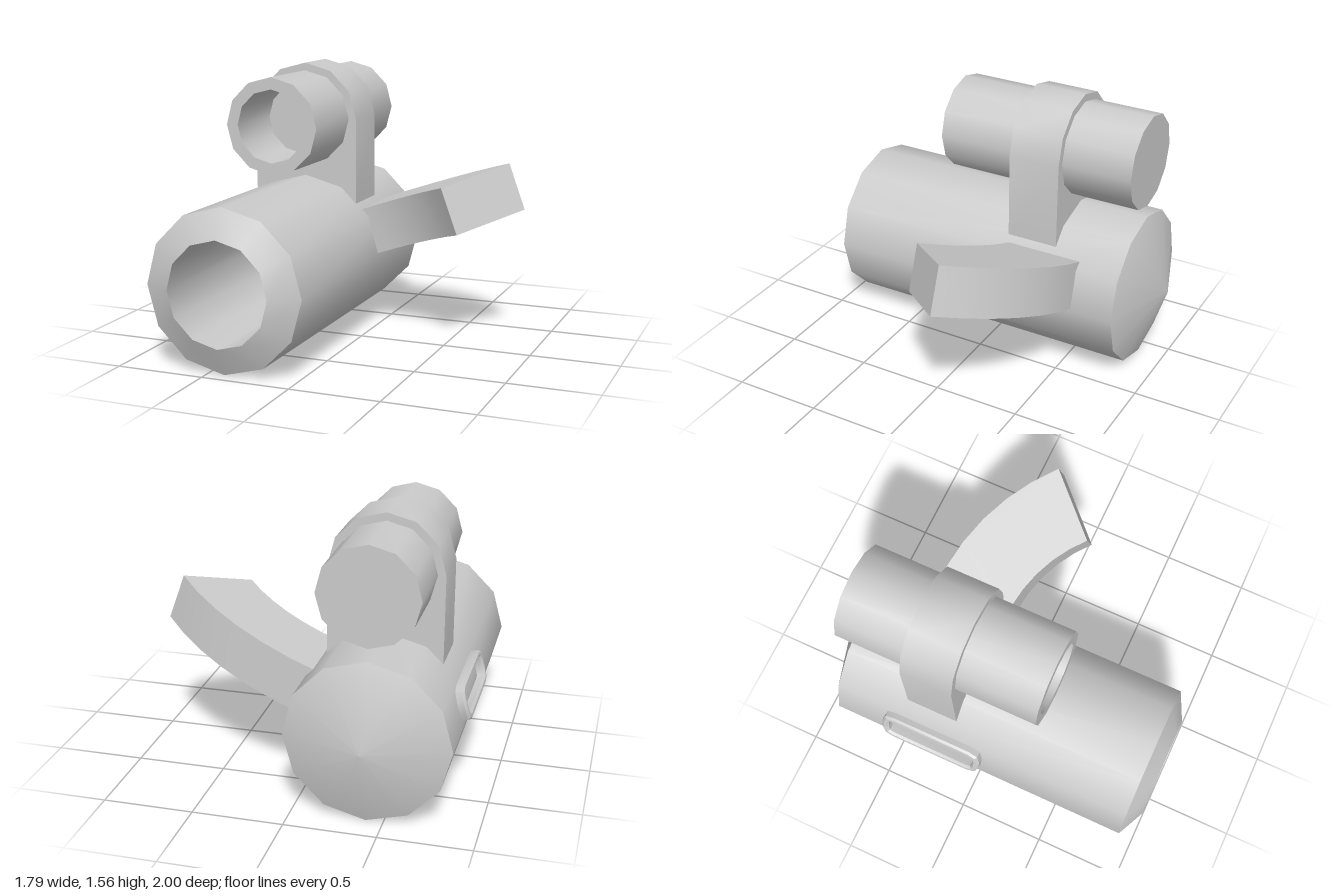
import * as THREE from 'three';
import { toCreasedNormals } from 'three/addons/utils/BufferGeometryUtils.js';

const CREASE = 0.6;
const AXIS_X = -0.405; // shared centre line of both tubes
const BARREL_Y = 0.447;
const TUBE_Y = 1.237;
const SIDES = 12;

export function createModel() {
  const model = new THREE.Group();
  model.name = 'twinTubeDevice';
  const material = new THREE.MeshStandardMaterial({ color: 0xcccccc });

  function add(name, geometry, x = 0, y = 0, z = 0) {
    const mesh = new THREE.Mesh(toCreasedNormals(geometry, CREASE), material);
    mesh.name = name;
    mesh.position.set(x, y, z);
    model.add(mesh);
    return mesh;
  }

  // Turned part lying along z; profile pairs are [radius, z], back to front
  function turned(profile) {
    const points = profile.map(([r, z]) => new THREE.Vector2(r, z));
    return new THREE.LatheGeometry(points, SIDES).rotateX(Math.PI / 2);
  }

  // Main barrel: pointed back, chamfered muzzle, deep bore
  add('mainBarrel', turned([
    [0, -1], [0.45, -0.845], [0.45, 0.925], [0.29, 1], [0.29, -0.8], [0, -0.8],
  ]), AXIS_X, BARREL_Y);

  // Upper tube: closed back, shallow bore in front
  add('upperTube', turned([
    [0, -0.84], [0.272, -0.84], [0.272, 0.325], [0.205, 0.325], [0.205, -0.08], [0, -0.08],
  ]), AXIS_X, TUBE_Y);

  // Mounting bracket: arch over the upper tube, straight cheeks down to the barrel
  const bracketRadius = 0.316;
  const arch = new THREE.Shape();
  arch.moveTo(-bracketRadius, 0.742 - TUBE_Y);
  arch.lineTo(bracketRadius, 0.742 - TUBE_Y);
  for (let i = 0; i <= SIDES / 2; i++) {
    const a = (i * 2 * Math.PI) / SIDES;
    arch.lineTo(bracketRadius * Math.cos(a), bracketRadius * Math.sin(a));
  }
  add('bracket', new THREE.ExtrudeGeometry(arch, { depth: 0.3, bevelEnabled: false }),
    AXIS_X, TUBE_Y, -0.435);

  // Curved side handle: 45 degree ring sector, tilted upward by 20 degrees
  const sector = new THREE.Shape();
  const steps = 6;
  const outer = 1.33, inner = 0.885, centreZ = 0.73;
  const sectorPoints = [];
  for (let i = 0; i <= steps; i++) {
    const a = Math.PI / 2 - (i / steps) * (Math.PI / 4);
    sectorPoints.push(new THREE.Vector2(outer * Math.cos(a), outer * Math.sin(a) - centreZ));
  }
  for (let i = steps; i >= 0; i--) {
    const a = Math.PI / 2 - (i / steps) * (Math.PI / 4);
    sectorPoints.push(new THREE.Vector2(inner * Math.cos(a), inner * Math.sin(a) - centreZ));
  }
  sector.setFromPoints(sectorPoints);
  const handle = add('sideHandle',
    new THREE.ExtrudeGeometry(sector, { depth: 0.272, bevelEnabled: false }).rotateX(-Math.PI / 2),
    0.012, 0.4485);
  handle.rotation.z = THREE.MathUtils.degToRad(20);

  // Slot frame on the opposite barrel facet
  function roundedRect(path, w, h, r) {
    path.moveTo(-w + r, -h);
    path.lineTo(w - r, -h);
    path.quadraticCurveTo(w, -h, w, -h + r);
    path.lineTo(w, h - r);
    path.quadraticCurveTo(w, h, w - r, h);
    path.lineTo(-w + r, h);
    path.quadraticCurveTo(-w, h, -w, h - r);
    path.lineTo(-w, -h + r);
    path.quadraticCurveTo(-w, -h, -w + r, -h);
    return path;
  }
  const bevel = 0.012;
  const frame = roundedRect(new THREE.Shape(), 0.303 - bevel, 0.1 - bevel, 0.06);
  frame.holes.push(roundedRect(new THREE.Path(), 0.262 + bevel, 0.06 + bevel, 0.045));
  const frameGeometry = new THREE.ExtrudeGeometry(frame, {
    depth: 0.05 - bevel, curveSegments: 2,
    bevelThickness: bevel, bevelSize: bevel, bevelSegments: 1,
  }).rotateY(-Math.PI / 2);
  const slotFrame = add('slotFrame', frameGeometry, -0.822, 0.558, -0.243);
  slotFrame.rotation.z = -Math.PI / 12;

  return model;
}
